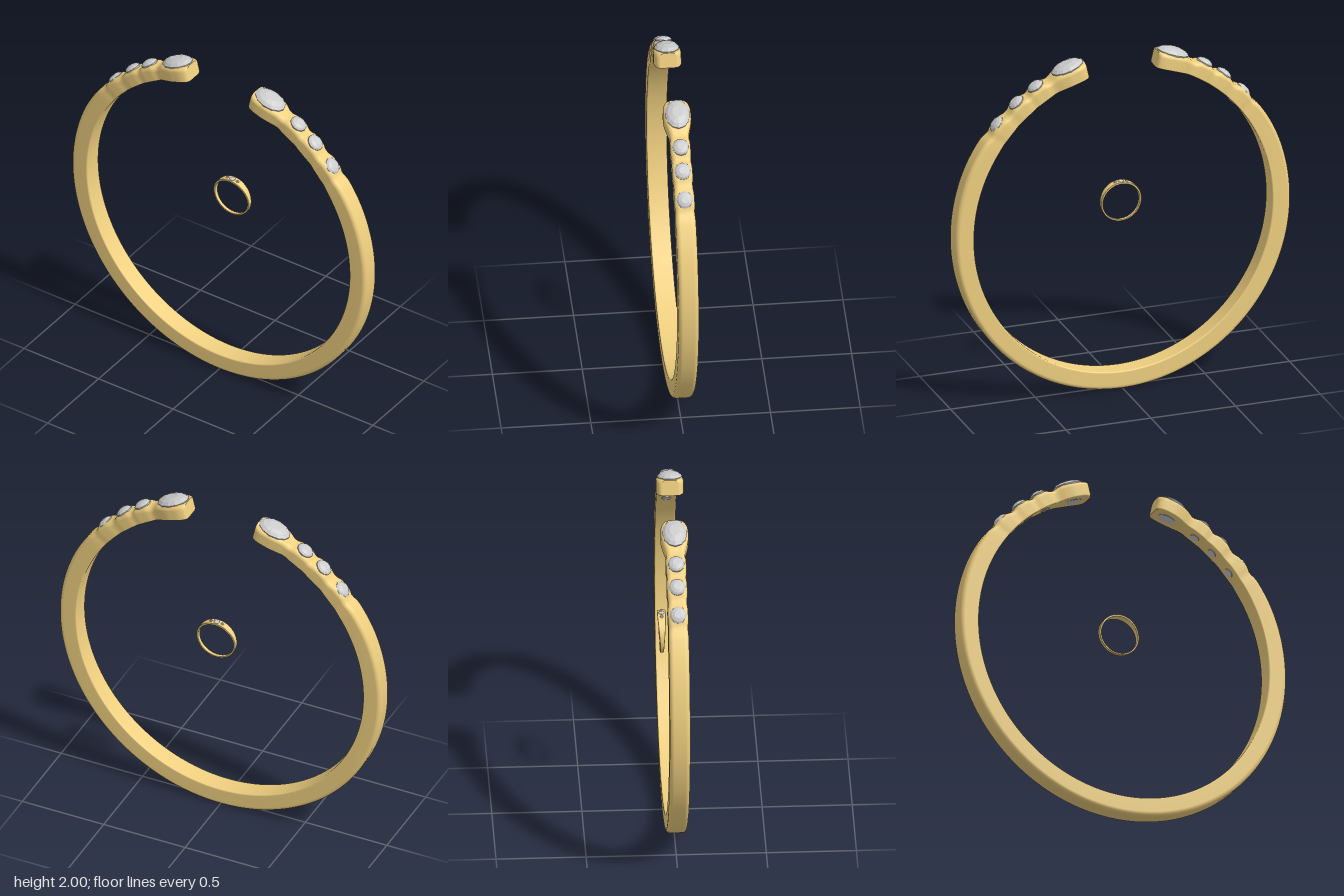
import * as THREE from 'three';

const gold = new THREE.MeshStandardMaterial({ color: 0xf0d080 });
const stone = new THREE.MeshStandardMaterial({ color: 0xcccccc, flatShading: true });

const CY = 1.015, RX = 0.88, RY = 0.907;      // inner ellipse of the bangle
const END = 0.227;                            // half angle of the opening
const HEAD = 0.327;                           // angle of the large end stone
const SMALL = [0.541, 0.684, 0.848];          // angles of the small stones
const smooth = THREE.MathUtils.smoothstep;

// Rounded-rectangle section as [z, h] pairs: h = 0 is the inner face.
function section(halfWidth, thick, rOut, rIn) {
  const pts = [];
  [[1, 1], [-1, 1], [-1, 0], [1, 0]].forEach(([sz, outer], q) => {
    const r = outer ? rOut : rIn;
    const cz = sz * (halfWidth - r), ch = outer ? thick - r : r;
    for (let k = 0; k <= 5; k++) {
      const t = (q + k / 5) * Math.PI / 2;
      pts.push([cz + r * Math.cos(t), ch + r * Math.sin(t)]);
    }
  });
  return pts;
}

// Skin a list of point rings; either joined end to end or closed with flat caps.
function loft(rings, closed) {
  const n = rings[0].length, m = rings.length;
  const pos = rings.flat(2), idx = [];
  for (let i = 0; i < (closed ? m : m - 1); i++) {
    const p = i * n, q = ((i + 1) % m) * n;
    for (let j = 0; j < n; j++) {
      const k = (j + 1) % n;
      idx.push(p + j, q + j, p + k, q + j, q + k, p + k);
    }
  }
  if (!closed) {
    [rings[0], rings[m - 1]].forEach((ring, e) => {
      const base = pos.length / 3;
      ring.forEach(p => pos.push(...p));
      for (let j = 1; j < n - 1; j++) {
        if (e) idx.push(base, base + j + 1, base + j);
        else idx.push(base, base + j, base + j + 1);
      }
    });
  }
  const g = new THREE.BufferGeometry();
  g.setAttribute('position', new THREE.Float32BufferAttribute(pos, 3));
  g.setIndex(idx);
  g.computeVertexNormals();
  return g;
}

// Open bangle: thinner and scalloped around the stones, flared at both ends.
function bangleGeometry() {
  const rings = [], N = 300;
  for (let i = 0; i <= N; i++) {
    const u = i / N;
    const a = END + (2 * Math.PI - 2 * END) * (u - 0.75 * Math.sin(2 * Math.PI * u) / (2 * Math.PI));
    const d = Math.min(a, 2 * Math.PI - a);   // angle from the top, same on both sides
    let thick = 0.108 - 0.018 * (1 - smooth(d, 0.6, 1.2));
    let width = 0.057;
    const zone = smooth(d, 0.4, 0.46) * (1 - smooth(d, 0.9, 0.98));
    const near = Math.min(...SMALL.map(s => Math.abs(d - s)));
    const dip = zone * smooth(near, 0.03, 0.075);
    thick -= 0.012 * dip;
    width -= 0.004 * dip;
    width += 0.02 * (1 - smooth(d, 0.33, 0.47));
    // rounded plan of the tip
    const e = Math.max(0, 1 - (d - END) / 0.07);
    width *= 0.62 + 0.38 * Math.sqrt(Math.max(0, 1 - e * e));
    rings.push(section(width, thick, 0.025, 0.008).map(([z, h]) =>
      [Math.sin(a) * (RX + h), CY + Math.cos(a) * (RY + h), z]));
  }
  return loft(rings, false);
}

// Small closed band, broad at the top and slim at the bottom.
function ringGeometry(radius) {
  const rings = [], N = 96;
  for (let i = 0; i < N; i++) {
    const a = i / N * 2 * Math.PI;
    const k = (1 + Math.cos(a)) / 2;
    rings.push(section(0.01 + 0.014 * k * k, 0.009 + 0.002 * k, 0.003, 0.001).map(([z, h]) =>
      [Math.sin(a) * (radius + h), Math.cos(a) * (radius + h), z]));
  }
  return loft(rings, true);
}

// Faceted stone: crown above its girdle at y = 0, pavilion down to a flat culet.
function gem(name, rx, rz, crown, depth, sides) {
  const profile = [[0, -depth], [0.55, -depth], [0.97, -0.12 * depth], [1, 0], [0.78, 0.6 * crown], [0.42, crown], [0, crown]]
    .map(([x, y]) => new THREE.Vector2(x, y));
  const g = new THREE.LatheGeometry(profile, sides).scale(rx, 1, rz);
  const mesh = new THREE.Mesh(g, stone);
  mesh.name = name;
  return mesh;
}

export function createModel() {
  const model = new THREE.Group();
  model.name = 'jewellerySet';

  const bangle = new THREE.Mesh(bangleGeometry(), gold);
  bangle.name = 'bangle';
  model.add(bangle);

  // Stones run right through the band and show on its inner face
  for (const side of [1, -1]) {
    const place = (mesh, a, h) => {
      mesh.position.set(side * Math.sin(a) * (RX + h), CY + Math.cos(a) * (RY + h), 0);
      mesh.rotation.z = -side * a;
      model.add(mesh);
    };
    const label = side > 0 ? 'left' : 'right';
    place(gem(label + 'EndStone', 0.096, 0.07, 0.026, 0.094, 12), HEAD, 0.092);
    SMALL.forEach((a, i) =>
      place(gem(label + 'SmallStone' + (i + 1), 0.049, 0.047, 0.018, 0.098, 12), a, 0.094));
  }

  // Finger ring floating behind the plane of the bangle
  const ring = new THREE.Group();
  ring.name = 'fingerRing';
  ring.position.set(0.017, 1.135, -0.058);
  const band = new THREE.Mesh(ringGeometry(0.109), gold);
  band.name = 'ringBand';
  ring.add(band);
  [[-0.29, 0.009], [0, 0.017], [0.29, 0.009]].forEach(([a, r], i) => {
    const s = gem('ringStone' + (i + 1), r, r, 0.006, 0.008, 10);
    s.position.set(Math.sin(a) * 0.12, Math.cos(a) * 0.12, 0);
    s.rotation.z = -a;
    ring.add(s);
  });
  model.add(ring);
  return model;
}
